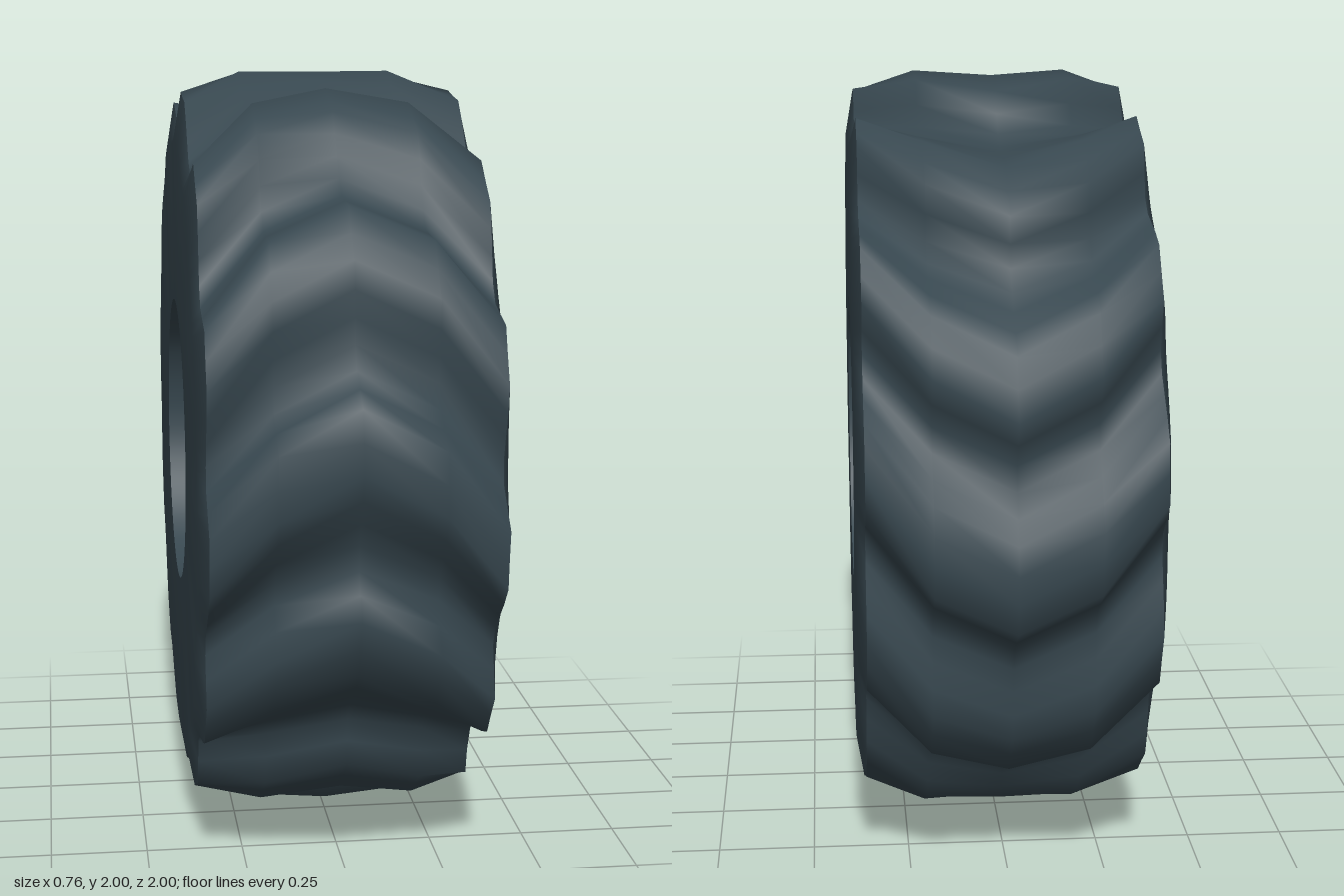
import * as THREE from 'three';

const LUGS = 12;
const PITCH = 360 / LUGS;
// one lug pitch: [degrees, height 0..1] - flat top, steep leading face, groove, gentle trailing ramp
const WAVE = [[0, 1], [4.5, 0.95], [9, 1], [12, 0.45], [15, 0], [19, 0], [22.7, 0.3], [26.3, 0.66]];

// ring: half-width position, groove radius, lug radius, angular lag that makes the chevron
const ring = (x, low, high, shift) => ({ x, low, high, shift });
const mirror = (r) => ring(-r.x, r.low, r.high, r.shift);

// skin a series of rings around the x axis
function loft(rings) {
  const pos = [], index = [];
  const n = LUGS * WAVE.length;
  for (const { x, low, high, shift } of rings) {
    for (let k = 0; k < LUGS; k++) {
      for (const [deg, h] of WAVE) {
        const a = THREE.MathUtils.degToRad(k * PITCH + deg + shift);
        const r = low + (high - low) * h;
        pos.push(x, r * Math.cos(a), -r * Math.sin(a));
      }
    }
  }
  for (let i = 0; i < rings.length - 1; i++) {
    for (let j = 0; j < n; j++) {
      const a = i * n + j, b = i * n + (j + 1) % n;
      index.push(a, a + n, b, b, a + n, b + n);
    }
  }
  const g = new THREE.BufferGeometry();
  g.setAttribute('position', new THREE.Float32BufferAttribute(pos, 3));
  g.setIndex(index);
  g.computeVertexNormals();
  return g;
}

export function createModel() {
  const rubber = new THREE.MeshStandardMaterial({ color: 0x37474f });
  rubber.name = 'rubber';

  const crown = ring(0, 0.925, 1, 6);
  const mid = ring(0.2, 0.905, 1, 0);
  const shoulder = ring(0.36, 0.855, 0.95, -12);
  const rim = ring(0.38, 0.81, 0.835, -13);
  const bead = ring(0.38, 0.385, 0.385, -13);
  const side = [shoulder, rim, bead];

  const parts = {
    tread: [mirror(shoulder), mirror(mid), crown, mid, shoulder],
    leftSidewall: side,
    rightSidewall: side.map(mirror).reverse(),
    hubOpening: [bead, mirror(bead)],
  };

  const tire = new THREE.Group();
  tire.name = 'tire';
  for (const [name, rings] of Object.entries(parts)) {
    const mesh = new THREE.Mesh(loft(rings), rubber);
    mesh.name = name;
    mesh.position.y = 1;
    tire.add(mesh);
  }
  return tire;
}
